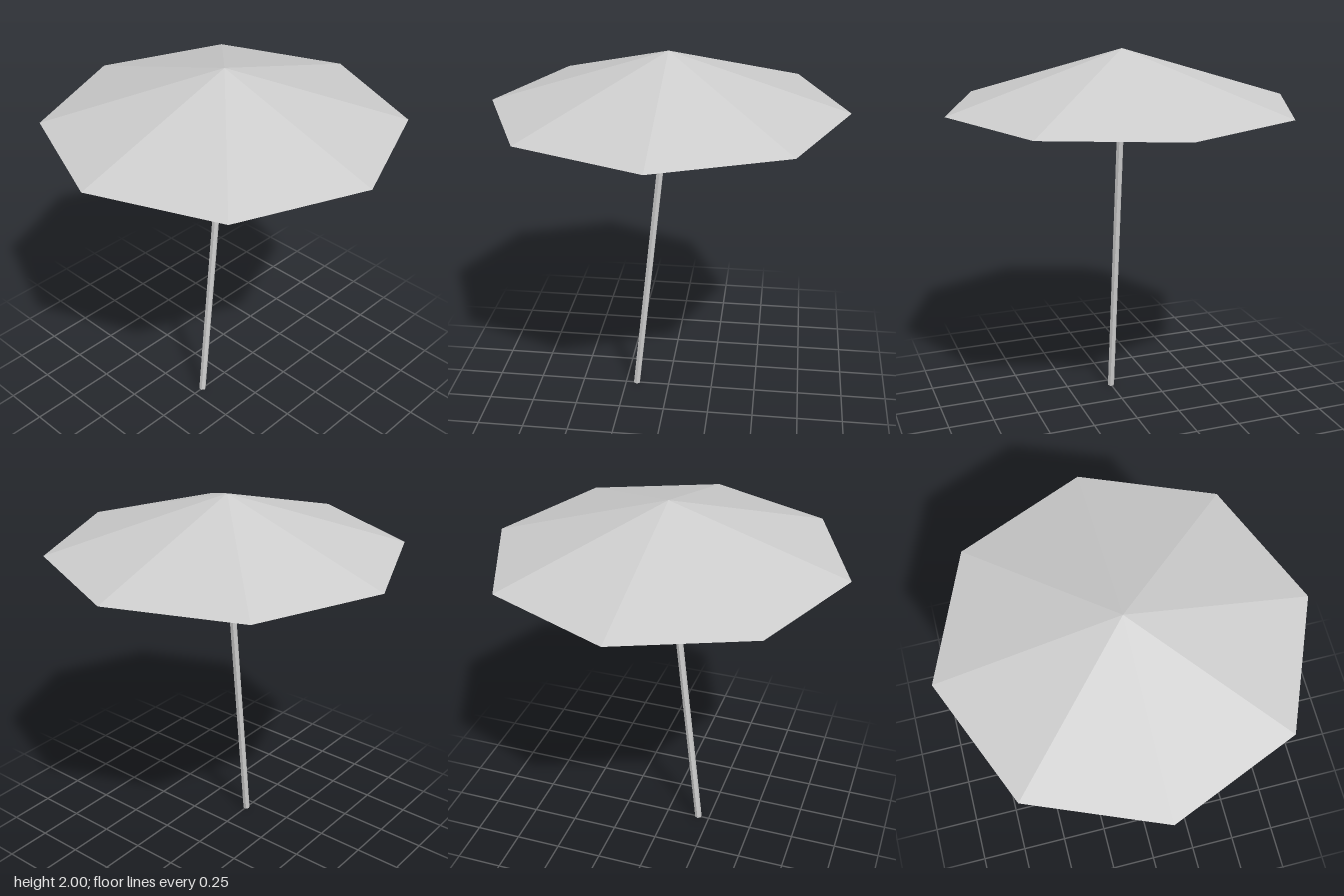
import * as THREE from 'three';

export function createModel() {
  const group = new THREE.Group();
  const grey = new THREE.MeshStandardMaterial({ color: 0xcccccc, flatShading: true, side: THREE.DoubleSide });
  grey.name = 'light grey';

  // Eight-panel canopy, open underneath
  const canopyHeight = 0.295;
  const canopy = new THREE.Mesh(new THREE.ConeGeometry(0.932, canopyHeight, 8, 1, true), grey);
  canopy.name = 'canopy';
  canopy.position.y = 2 - canopyHeight / 2;
  group.add(canopy);

  // Slender six-sided pole, leaning six degrees, ending just below the apex
  const lean = THREE.MathUtils.degToRad(6);
  const length = 1.95;
  const pole = new THREE.Mesh(new THREE.CylinderGeometry(0.0193, 0.0193, length, 6), grey);
  pole.name = 'pole';
  pole.rotation.z = -lean;
  pole.position.set(-0.187 + Math.sin(lean) * length / 2, 0.002 + Math.cos(lean) * length / 2, 0);
  group.add(pole);

  return group;
}
